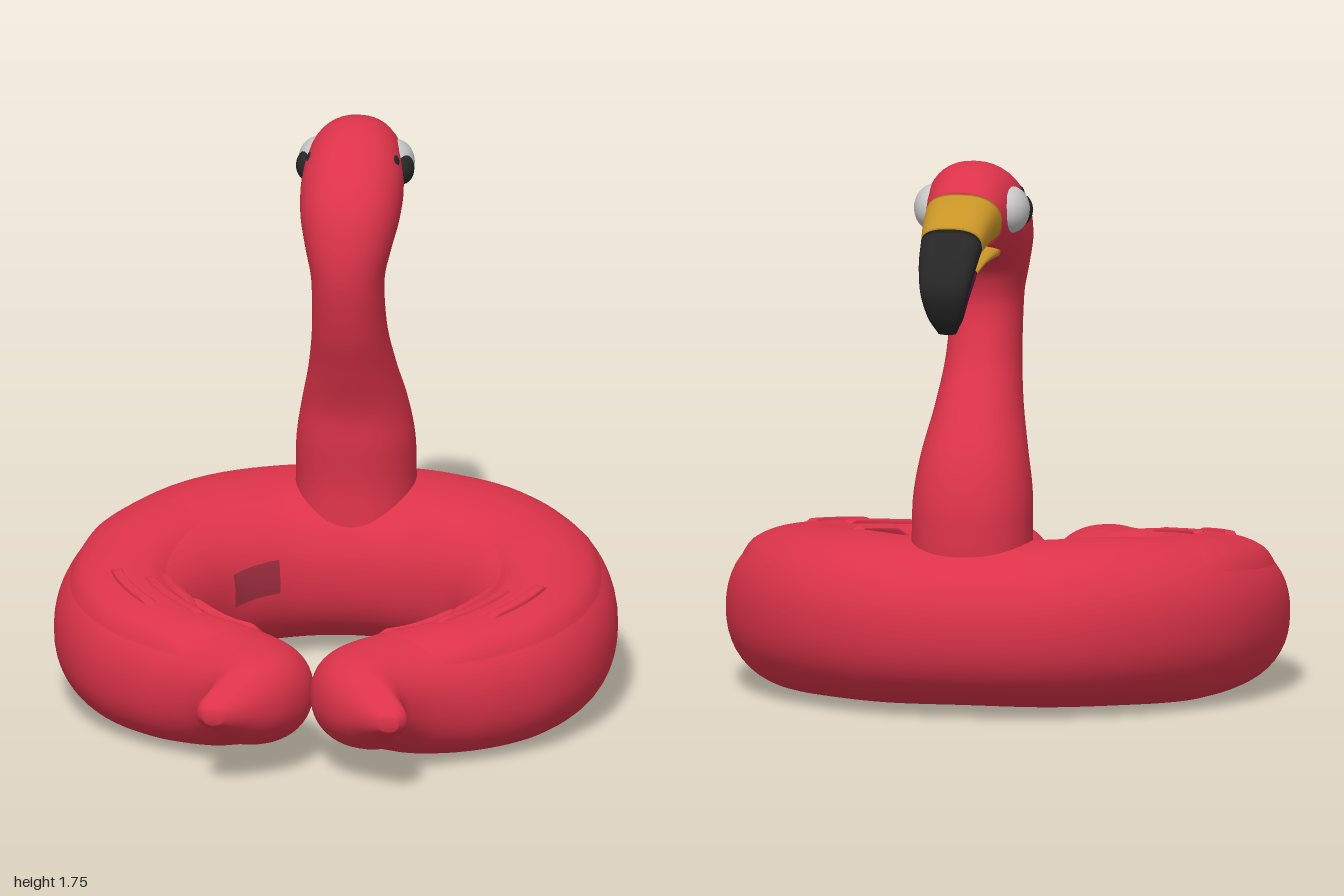
import * as THREE from 'three';

const mat = (name, color, side = THREE.FrontSide) => {
  const m = new THREE.MeshStandardMaterial({ color, side });
  m.name = name;
  return m;
};

// Skin between two outlines: each row is [point A, point B, half width along axis]
function loft(rows, axis, { nu = 40, na = 32, u0 = 0, u1 = 1, a0 = 0, a1 = 360, pow = 0.9, offset = () => 0 } = {}) {
  const curveA = new THREE.CatmullRomCurve3(rows.map(r => r[0]));
  const curveB = new THREE.CatmullRomCurve3(rows.map(r => r[1]));
  const width = new THREE.CatmullRomCurve3(rows.map((r, i) => new THREE.Vector3(r[2], i, 0)), false, 'catmullrom');
  const closed = a1 - a0 === 360;
  const cols = closed ? na : na + 1;
  const pos = [], idx = [], centres = [];
  const round = v => Math.sign(v) * Math.abs(v) ** pow;
  for (let i = 0; i <= nu; i++) {
    const u = u0 + (u1 - u0) * i / nu;
    const A = curveA.getPoint(u), B = curveB.getPoint(u), w = width.getPoint(u).x;
    const C = A.clone().add(B).multiplyScalar(0.5);
    const D = A.sub(B).multiplyScalar(0.5);
    const len = D.length();
    D.normalize();
    centres.push(C);
    for (let j = 0; j < cols; j++) {
      const t = THREE.MathUtils.degToRad(a0 + (a1 - a0) * j / na);
      const o = offset(i / nu, j / na);
      const p = C.clone()
        .addScaledVector(D, (len + o) * round(Math.cos(t)))
        .addScaledVector(axis, (w + o) * round(Math.sin(t)));
      pos.push(p.x, p.y, p.z);
    }
  }
  for (let i = 0; i < nu; i++) for (let j = 0; j < na; j++) {
    const k = (j + 1) % cols, a = i * cols + j, b = i * cols + k;
    idx.push(a, b, a + cols, b, b + cols, a + cols);
  }
  // End caps
  if (closed) for (const [i, s] of [[0, 1], [nu, -1]]) {
    const c = pos.length / 3;
    pos.push(...centres[i].toArray());
    for (let j = 0; j < na; j++) {
      const a = i * cols + j, b = i * cols + (j + 1) % cols;
      idx.push(c, ...(s > 0 ? [b, a] : [a, b]));
    }
  }
  // Turn faces outward
  const at = n => new THREE.Vector3().fromArray(pos, n * 3);
  const m = Math.floor(nu / 2), q = m * cols + 1;
  const P = at(q), n = at(q + 1).sub(P).cross(at(q + cols).sub(P));
  if (n.dot(P.clone().sub(centres[m])) < 0) {
    for (let i = 0; i < idx.length; i += 3) [idx[i], idx[i + 1]] = [idx[i + 1], idx[i]];
  }
  const g = new THREE.BufferGeometry();
  g.setAttribute('position', new THREE.Float32BufferAttribute(pos, 3));
  g.setIndex(idx);
  g.computeVertexNormals();
  return g;
}

export function createModel() {
  const group = new THREE.Group();
  group.name = 'flamingoFloat';
  const red = mat('coral red', 0xdc3349, THREE.DoubleSide);
  const yellow = mat('beak yellow', 0xc89426);
  const black = mat('black', 0x262626);
  const white = mat('eye white', 0xc6c6c6);
  const purple = mat('mouth purple', 0x4a1244, THREE.DoubleSide);
  const maroon = mat('dull red', 0x9c2c3e, THREE.DoubleSide);
  const X = new THREE.Vector3(1, 0, 0), Y = new THREE.Vector3(0, 1, 0);
  const add = (name, geo, m) => {
    const mesh = new THREE.Mesh(geo, m);
    mesh.name = name;
    group.add(mesh);
    return mesh;
  };

  // Ring half, back to tail tip: outer x, z, inner x, z, bottom, top
  const half = [
    [0, -0.86, 0, -0.27, 0.02, 0.54],
    [0.32, -0.81, 0.14, -0.255, 0.015, 0.54],
    [0.6, -0.64, 0.25, -0.2, 0.01, 0.54],
    [0.8, -0.38, 0.34, -0.12, 0, 0.52],
    [0.885, -0.08, 0.4, 0.01, 0, 0.485],
    [0.87, 0.22, 0.41, 0.14, 0, 0.46],
    [0.76, 0.46, 0.36, 0.26, 0, 0.44],
    [0.6, 0.61, 0.23, 0.41, 0.01, 0.42],
    [0.46, 0.7, 0.08, 0.5, 0.03, 0.415],
    [0.37, 0.77, 0.01, 0.6, 0.07, 0.41],
    [0.32, 0.84, 0, 0.72, 0.1, 0.4],
    [0.315, 0.9, 0.06, 0.85, 0.15, 0.37],
    [0.335, 0.95, 0.17, 0.945, 0.2, 0.32],
    [0.31, 0.995, 0.25, 0.995, 0.235, 0.285],
  ];
  const ringRow = (r, s) => {
    const y = (r[4] + r[5]) / 2;
    return [new THREE.Vector3(s * r[0], y, r[1]), new THREE.Vector3(s * r[2], y, r[3]), (r[5] - r[4]) / 2];
  };
  const last = half.length - 1;
  const ring = [...half.slice(1).reverse().map(r => ringRow(r, -1)), ...half.map(r => ringRow(r, 1))];
  add('ring', loft(ring, Y, { nu: 156, na: 48 }), red);

  // Patches that lie on the ring; k counts ring rows from the back
  const onRing = (name, s, k0, k1, a0, a1, offset, m) => add(name, loft(ring, Y, {
    nu: 32, na: 16, a0, a1, offset,
    u0: (last + s * k0) / (2 * last), u1: (last + s * k1) / (2 * last),
  }), m);
  const puff = h => (u, v) => h * Math.min(1, 6 * Math.min(u, 1 - u, v, 1 - v)) - 0.002;
  const flat = () => 0.004;
  for (const s of [-1, 1]) {
    onRing('wing', s, 2.8, 8.2, 38, 120, puff(0.014), red);
    for (const [k0, k1, a0, a1] of [[5, 6.6, 76, 86], [5.3, 7.2, 94, 103], [5.1, 6.5, 110, 119], [5.9, 7.8, 124, 134]]) {
      onRing('feather', s, k0, k1, a0, a1, puff(0.024), red);
    }
    onRing('innerPatch', s, 5.3, 7, 165, 188, flat, maroon);
  }
  onRing('innerPatchBack', -1, 1.6, 3, 165, 185, flat, maroon);
  onRing('innerPatchPurple', -1, 4.6, 5.3, 168, 186, flat, purple);

  // Neck, head and beak: z, y of one outline, z, y of the other, half width
  const profile = rows => rows.map(r => [new THREE.Vector3(0, r[1], r[0]), new THREE.Vector3(0, r[3], r[2]), r[4]]);
  add('neckAndHead', loft(profile([
    [-0.32, 0.42, -0.72, 0.42, 0.195],
    [-0.33, 0.56, -0.72, 0.56, 0.19],
    [-0.32, 0.7, -0.71, 0.67, 0.187],
    [-0.31, 0.82, -0.67, 0.8, 0.168],
    [-0.255, 0.97, -0.59, 0.94, 0.138],
    [-0.195, 1.12, -0.49, 1.1, 0.118],
    [-0.155, 1.3, -0.438, 1.27, 0.115],
    [-0.16, 1.42, -0.452, 1.35, 0.135],
    [-0.205, 1.55, -0.475, 1.39, 0.155],
    [-0.33, 1.68, -0.5, 1.41, 0.162],
    [-0.5, 1.745, -0.53, 1.425, 0.152],
    [-0.61, 1.725, -0.57, 1.44, 0.135],
    [-0.705, 1.665, -0.6, 1.48, 0.12],
  ]), X, { nu: 84, na: 40 }), red);
  add('upperBeak', loft(profile([
    [-0.7, 1.668, -0.59, 1.495, 0.122],
    [-0.79, 1.632, -0.71, 1.49, 0.111],
    [-0.87, 1.58, -0.82, 1.47, 0.098],
  ]), X, { nu: 16, pow: 0.8 }), yellow);
  add('beakHook', loft(profile([
    [-0.87, 1.58, -0.82, 1.47, 0.098],
    [-0.95, 1.5, -0.885, 1.42, 0.09],
    [-1, 1.4, -0.92, 1.36, 0.075],
    [-0.97, 1.31, -0.91, 1.3, 0.055],
    [-0.92, 1.25, -0.895, 1.26, 0.03],
  ]), X, { nu: 28, pow: 0.8 }), black);
  add('lowerBeak', loft(profile([
    [-0.57, 1.5, -0.56, 1.435, 0.1],
    [-0.7, 1.475, -0.7, 1.435, 0.085],
    [-0.81, 1.45, -0.8, 1.415, 0.075],
  ]), X, { nu: 14 }), yellow);
  add('lowerBeakTip', loft(profile([
    [-0.81, 1.45, -0.8, 1.415, 0.075],
    [-0.87, 1.39, -0.84, 1.34, 0.06],
    [-0.895, 1.31, -0.87, 1.27, 0.042],
    [-0.9, 1.26, -0.885, 1.25, 0.02],
  ]), X, { nu: 20 }), purple);

  // Eyes
  const ball = (name, m, x, y, z, rx, ry, rz) => {
    const b = add(name, new THREE.SphereGeometry(1, 28, 20), m);
    b.position.set(x, y, z);
    b.scale.set(rx, ry, rz);
  };
  for (const s of [-1, 1]) {
    ball('eye', white, s * 0.122, 1.597, -0.53, 0.063, 0.075, 0.083);
    ball('pupil', black, s * 0.15, 1.592, -0.493, 0.038, 0.05, 0.048);
    ball('browMark', black, s * 0.122, 1.635, -0.43, 0.026, 0.026, 0.036);
  }
  return group;
}
